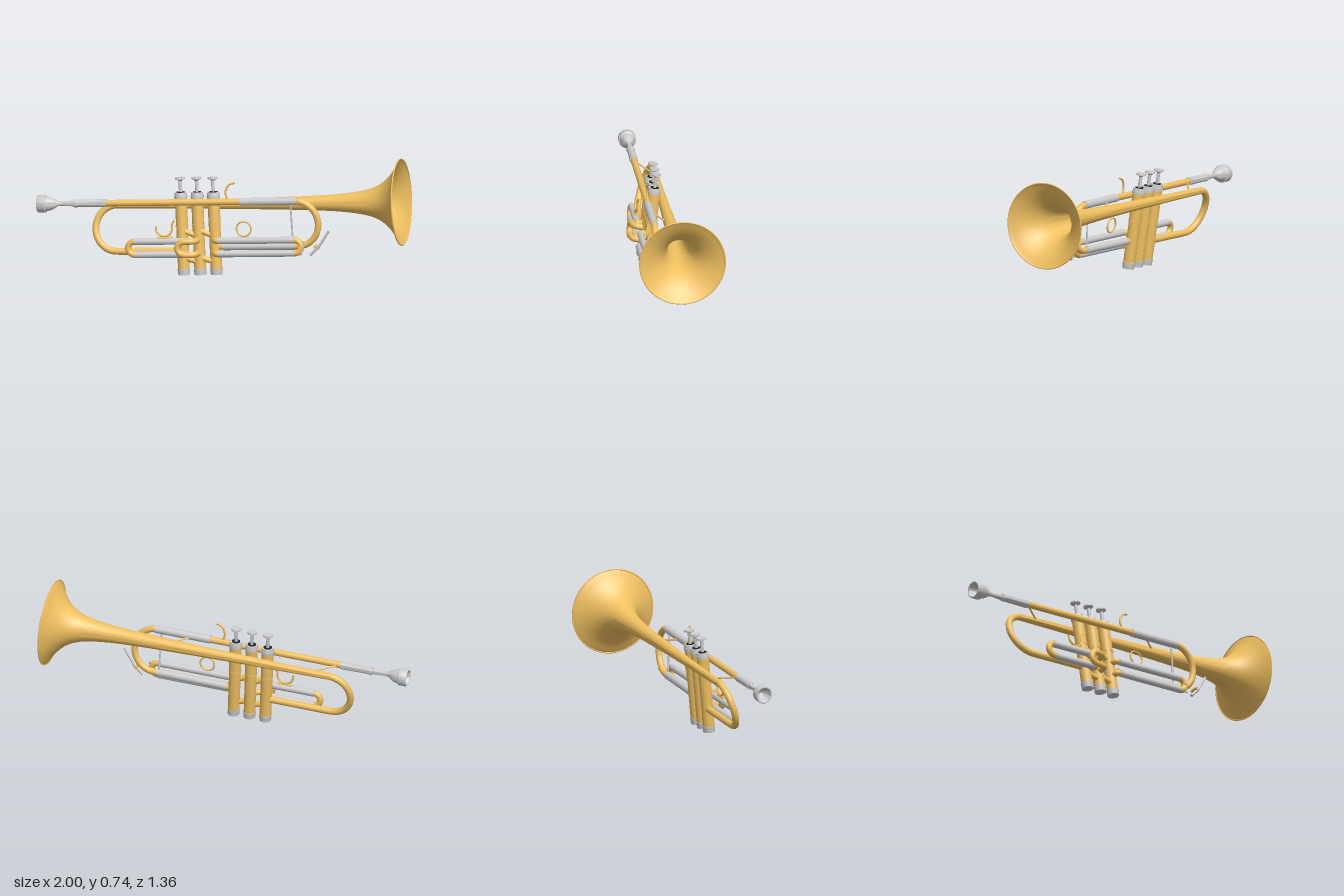
import * as THREE from 'three';
import { toCreasedNormals } from 'three/addons/utils/BufferGeometryUtils.js';

const brass = new THREE.MeshStandardMaterial({ color: 0xf0c060, side: THREE.DoubleSide });
const silver = new THREE.MeshStandardMaterial({ color: 0xcccccc, side: THREE.DoubleSide });
const felt = new THREE.MeshStandardMaterial({ color: 0x222222 });
const V = (x, y, z) => new THREE.Vector3(x, y, z);

// Local frame: x along the bore towards the bell, y up the valves, z to the player's right
export function createModel() {
  const root = new THREE.Group();
  const horn = new THREE.Group();
  horn.name = 'horn';
  root.add(horn);

  const add = (name, geometry, material, parent = horn) => {
    const mesh = new THREE.Mesh(geometry, material);
    mesh.name = name;
    parent.add(mesh);
    return mesh;
  };
  // Bent tube through points
  const tube = (name, pts, r, mat, segments = 48) =>
    add(name, new THREE.TubeGeometry(new THREE.CatmullRomCurve3(pts, false, 'centripetal'), segments, r, 14), mat);
  // Straight capped rod between two points
  const rod = (name, a, b, r, mat, r2 = r) => {
    const d = b.clone().sub(a);
    const mesh = add(name, new THREE.CylinderGeometry(r2, r, d.length(), 20), mat);
    mesh.position.copy(a).addScaledVector(d, 0.5);
    mesh.quaternion.setFromUnitVectors(V(0, 1, 0), d.normalize());
    return mesh;
  };
  // Turned part along the x axis; profile holds [x, radius]
  const turned = (name, profile, mat, y, z) => {
    const g = new THREE.LatheGeometry(profile.map(([x, r]) => new THREE.Vector2(r, x)), 48);
    const mesh = add(name, toCreasedNormals(g.rotateZ(-Math.PI / 2), 0.7), mat);
    mesh.position.set(0, y, z);
    return mesh;
  };
  // Half-round bend; dir = +1 bulges forward, -1 backward
  const bend = (x, top, bottom, dir, reach) => {
    const pts = [];
    for (let i = 0; i <= 12; i++) {
      const t = i / 12 * Math.PI;
      const p = top.clone().lerp(bottom, (1 - Math.cos(t)) / 2);
      pts.push(p.setX(x + dir * reach * Math.sin(t)));
    }
    return pts;
  };

  // Bell with its long taper
  const flare = [[-0.7, 0.02], [-0.2, 0.026], [0.2, 0.034], [0.5, 0.043], [0.66, 0.053], [0.78, 0.07],
    [0.85, 0.09], [0.9, 0.117], [0.94, 0.152], [0.975, 0.195], [1.0, 0.238], [1.008, 0.25]];
  const flareCurve = new THREE.SplineCurve(flare.map(([x, r]) => new THREE.Vector2(x, r)));
  turned('bell', flareCurve.getPoints(60).map(p => [p.x, p.y]), brass, 0.43, -0.044);
  const rim = add('bellRim', new THREE.TorusGeometry(0.249, 0.004, 8, 64).rotateY(Math.PI / 2), brass);
  rim.position.set(1.006, 0.43, -0.044);

  // Rear bow from the bell tube into the first valve
  const bowTop = V(0, 0.43, -0.044), bowLow = V(0, 0.167, 0.012);
  tube('rearBow', [V(-0.62, 0.43, -0.044), ...bend(-0.685, bowTop, bowLow, -1, 0.128), V(-0.5, 0.167, 0.012),
    V(-0.29, 0.167, 0.012)], 0.02, brass, 64);

  // Mouthpiece, receiver and leadpipe
  turned('mouthpiece', [[-1.07, 0], [-1.09, 0.027], [-1.125, 0.038], [-1.133, 0.043], [-1.133, 0.048], [-1.126, 0.051],
    [-1.085, 0.051], [-1.08, 0.044], [-1.055, 0.038], [-1.03, 0.026], [-1.015, 0.015], [-0.99, 0.013], [-0.9, 0.018]],
  silver, 0.456, 0.063);
  turned('receiver', [[-0.918, 0], [-0.918, 0.022], [-0.905, 0.024], [-0.89, 0.021], [-0.76, 0.023], [-0.725, 0.024],
    [-0.725, 0]], silver, 0.456, 0.063);
  rod('leadpipe', V(-0.75, 0.456, 0.063), V(0.42, 0.456, 0.063), 0.019, brass);
  rod('leadpipeSleeve', V(0.07, 0.456, 0.063), V(0.41, 0.456, 0.063), 0.023, silver);

  // Main tuning slide, down and back to the third valve
  tube('tuningSlide', [V(0.36, 0.456, 0.063), ...bend(0.4, V(0, 0.456, 0.063), V(0, 0.19, 0.03), 1, 0.127),
    V(0.3, 0.19, 0.03), V(-0.09, 0.19, 0.02)], 0.019, brass, 64);
  rod('tuningSleeve', V(-0.05, 0.19, 0.024), V(0.38, 0.19, 0.03), 0.022, silver);
  rod('tuningBrace', V(0.37, 0.456, 0.063), V(0.37, 0.19, 0.03), 0.005, silver);

  // First and third valve slides: paired legs joined by a bow
  const slide = (name, from, to, dir, valveX) => {
    const hi = V(0, 0.23, 0.068), lo = V(0, 0.153, 0.068);
    tube(name + 'Bow', [hi.clone().setX(to - dir * 0.03), ...bend(to, hi, lo, dir, 0.04),
      lo.clone().setX(to - dir * 0.03)], 0.018, brass, 32);
    for (const y of [0.23, 0.153]) {
      rod(name + 'Leg', V(from, y, 0.068), V(to, y, 0.068), 0.02, silver);
      tube(name + 'Knuckle', [V(from + dir * 0.02, y, 0.068), V(from - dir * 0.015, y, 0.064),
        V(valveX, y, 0.03)], 0.018, brass, 12);
    }
  };
  slide('firstSlide', -0.27, -0.565, -1, -0.292);
  slide('thirdSlide', -0.07, 0.385, 1, -0.098);

  // Second valve slide, a short bow swept backward
  const hi2 = V(0, 0.23, 0.102), lo2 = V(0, 0.153, 0.102);
  tube('secondSlide', [V(-0.195, 0.23, 0.03), V(-0.21, 0.23, 0.085), ...bend(-0.265, hi2, lo2, -1, 0.04),
    V(-0.21, 0.153, 0.085), V(-0.195, 0.153, 0.03)], 0.018, brass, 64);

  // Valves: stacked cylinders [name, bottom, top, lower radius, upper radius, material]
  const stack = [['bottomCap', 0.026, 0.062, 0.034, 0.037, silver], ['casing', 0.06, 0.31, 0.034, 0.034, brass],
    ['casingBand', 0.308, 0.316, 0.037, 0.037, brass], ['upperCasing', 0.314, 0.478, 0.035, 0.035, brass],
    ['capRing', 0.474, 0.488, 0.039, 0.039, silver], ['topCap', 0.488, 0.508, 0.037, 0.034, silver],
    ['feltPad', 0.508, 0.511, 0.024, 0.024, felt], ['stem', 0.508, 0.585, 0.01, 0.01, silver],
    ['buttonNeck', 0.575, 0.585, 0.01, 0.024, silver], ['fingerButton', 0.585, 0.595, 0.029, 0.028, silver]];
  for (const x of [-0.292, -0.195, -0.098]) {
    for (const [name, y0, y1, r0, r1, mat] of stack) rod(name, V(x, y0, 0.012), V(x, y1, 0.012), r0, mat, r1);
  }
  // Cross tubes between neighbouring valves
  for (const x of [-0.292, -0.195]) {
    for (const [y0, y1] of [[0.29, 0.25], [0.13, 0.1]]) {
      rod('valveCrossTube', V(x, y0, 0.022), V(x + 0.097, y1, 0.022), 0.017, brass);
    }
  }

  // Braces from leadpipe to bell tube
  for (const x of [-0.72, 0.17]) rod('bellBrace', V(x, 0.456, 0.063), V(x + 0.156, 0.432, -0.044), 0.005, brass);

  // Finger ring, finger hook and thumb saddle
  const ring = add('fingerRing', new THREE.TorusGeometry(0.043, 0.005, 8, 32), brass);
  ring.position.set(0.085, 0.296, 0.055);
  tube('fingerHook', [V(0.0, 0.465, 0.063), V(-0.012, 0.505, 0.066), V(-0.002, 0.54, 0.068), V(0.02, 0.562, 0.07),
    V(0.045, 0.567, 0.07)], 0.006, brass, 24);
  tube('thumbSaddle', [V(-0.435, 0.318, 0.068), V(-0.428, 0.282, 0.068), V(-0.4, 0.262, 0.068), V(-0.365, 0.264, 0.068),
    V(-0.342, 0.29, 0.068), V(-0.336, 0.33, 0.068), V(-0.325, 0.352, 0.068)], 0.006, brass, 32);
  rod('saddleFoot', V(-0.43, 0.251, 0.068), V(-0.34, 0.251, 0.068), 0.007, brass);

  // Water keys
  rod('waterKeyLever', V(0.595, 0.282, 0.07), V(0.52, 0.175, 0.062), 0.007, silver);
  rod('waterKeyArm', V(0.535, 0.196, 0.062), V(0.475, 0.14, 0.06), 0.009, silver);
  rod('waterKeyPivot', V(0.51, 0.19, 0.03), V(0.51, 0.19, 0.078), 0.009, brass);
  rod('slideKeyLever', V(0.44, 0.225, 0.075), V(0.425, 0.14, 0.075), 0.006, silver);
  rod('slideKeyPivot', V(0.42, 0.19, 0.05), V(0.42, 0.19, 0.092), 0.008, brass);

  // Pose: turned, pitched and slightly rolled
  const along = V(0.827, 0.07, 0.558).normalize();
  const side = along.clone().cross(V(0, 0.99, -0.138)).normalize();
  const up = side.clone().cross(along);
  horn.quaternion.setFromRotationMatrix(new THREE.Matrix4().makeBasis(along, up, side));
  return root;
}
